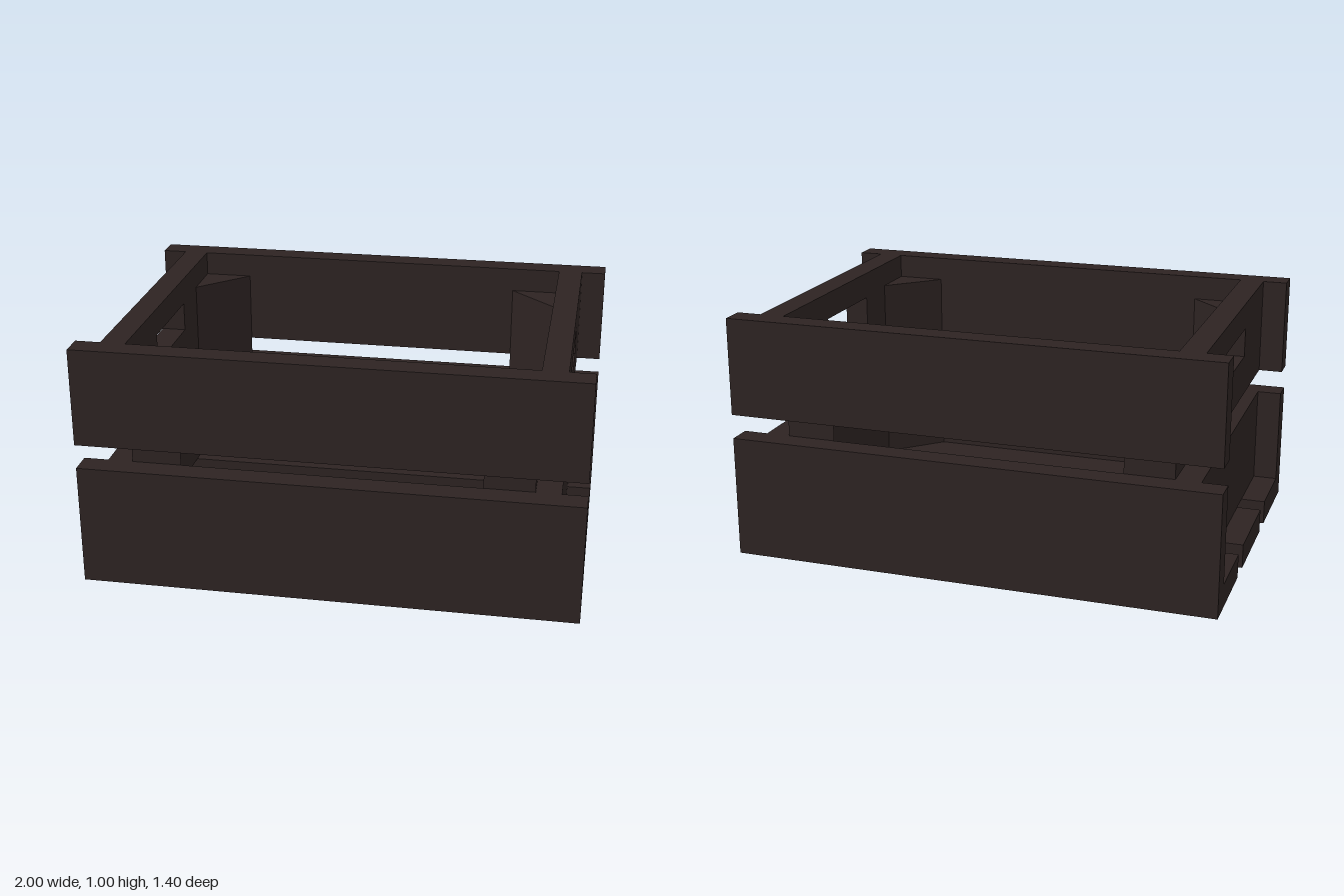
import * as THREE from 'three';

export function createModel() {
  const crate = new THREE.Group();
  crate.name = 'crate';
  const wood = new THREE.MeshStandardMaterial({ color: 0x2d2322 });
  wood.name = 'dark wood';

  const add = (name, geometry, x = 0, y = 0, z = 0) => {
    const mesh = new THREE.Mesh(geometry, wood);
    mesh.name = name;
    mesh.position.set(x, y, z);
    crate.add(mesh);
  };
  const box = (name, w, h, d, x, y, z) => add(name, new THREE.BoxGeometry(w, h, d), x, y, z);
  const rectangle = (Type, w, bottom, top) => new Type([
    new THREE.Vector2(-w / 2, bottom), new THREE.Vector2(w / 2, bottom),
    new THREE.Vector2(w / 2, top), new THREE.Vector2(-w / 2, top),
  ]);

  // Floor slats
  box('middleFloorSlat', 2, 0.1, 0.4, 0, 0.05, 0);
  for (const s of [-1, 1]) {
    const side = s > 0 ? 'front' : 'back';
    box(side + 'FloorSlat', 2, 0.1, 0.3, 0, 0.05, s * 0.45);
    // Long side planks
    box(side + 'LowerPlank', 2, 0.5, 0.1, 0, 0.25, s * 0.65);
    box(side + 'UpperPlank', 2, 0.4, 0.1, 0, 0.8, s * 0.65);
  }

  // End planks, the upper ones with a hand hole
  const handlePlank = rectangle(THREE.Shape, 1.2, 0.6, 1);
  handlePlank.holes.push(rectangle(THREE.Path, 0.4, 0.77, 0.89));
  const handleGeometry = new THREE.ExtrudeGeometry(handlePlank, { depth: 0.1, bevelEnabled: false });
  handleGeometry.translate(0, 0, -0.05).rotateY(Math.PI / 2);
  for (const s of [-1, 1]) {
    const side = s > 0 ? 'left' : 'right';
    box(side + 'LowerEndPlank', 0.1, 0.4, 1.2, s * 0.85, 0.3, 0);
    add(side + 'HandlePlank', handleGeometry, s * 0.85);

    // Triangular corner posts
    for (const t of [-1, 1]) {
      const triangle = new THREE.Shape([
        new THREE.Vector2(s * 0.8, t * 0.6),
        new THREE.Vector2(s * 0.6, t * 0.6),
        new THREE.Vector2(s * 0.8, t * 0.4),
      ]);
      const post = new THREE.ExtrudeGeometry(triangle, { depth: 0.8, bevelEnabled: false });
      post.rotateX(-Math.PI / 2);
      add(side + (t < 0 ? 'Front' : 'Back') + 'CornerPost', post, 0, 0.1, 0);
    }
  }
  return crate;
}
